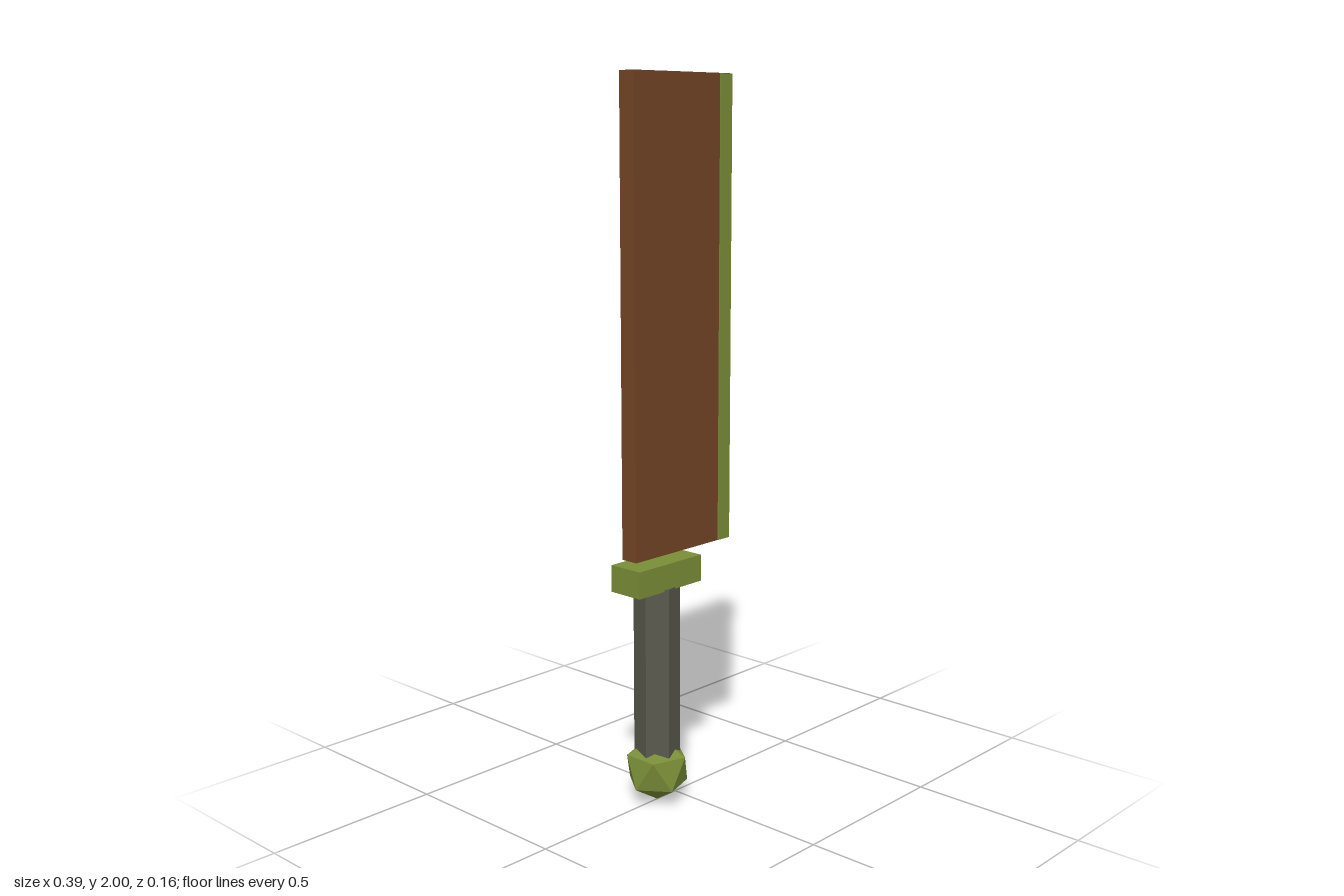
import * as THREE from 'three';
import { ConvexGeometry } from 'three/addons/geometries/ConvexGeometry.js';

const paint = (name, color) => {
  const m = new THREE.MeshStandardMaterial({ color, flatShading: true });
  m.name = name;
  return m;
};

export function createModel() {
  const brown = paint('brown', 0x734425);
  const green = paint('olive green', 0x7a8e38);
  const grey = paint('dark grey', 0x59594d);

  const model = new THREE.Group();
  model.name = 'cleaver';
  const add = (name, geometry, material) => {
    const mesh = new THREE.Mesh(geometry, material);
    mesh.name = name;
    model.add(mesh);
    return mesh;
  };
  // Box given by its lower and upper limits, centred on z = 0
  const slab = (name, x0, x1, y0, y1, depth, material) =>
    add(name, new THREE.BoxGeometry(x1 - x0, y1 - y0, depth), material)
      .position.set((x0 + x1) / 2, (y0 + y1) / 2, 0);

  // Broad blade with a slightly thicker cutting edge
  slab('blade', -0.18, 0.187, 0.717, 2, 0.052, brown);
  slab('cuttingEdge', 0.148, 0.193, 0.718, 1.999, 0.06, green);

  // Guard
  slab('guard', -0.195, 0.048, 0.625, 0.7, 0.106, green);

  // Six-sided grip, turned an eighth of a circle
  const gripX = -0.0735;
  const grip = add('grip', new THREE.CylinderGeometry(0.064, 0.064, 0.53, 6), grey);
  grip.position.set(gripX, 0.365, 0);
  grip.rotation.y = Math.PI / 4;

  // Pommel: icosahedron standing on one corner
  const r = 0.096;
  const points = [new THREE.Vector3(0, r, 0), new THREE.Vector3(0, -r, 0)];
  for (let i = 0; i < 10; i++) {
    const a = (i * Math.PI) / 5;
    const ring = (2 * r) / Math.sqrt(5);
    const y = (i % 2 ? -r : r) / Math.sqrt(5);
    points.push(new THREE.Vector3(ring * Math.cos(a), y, ring * Math.sin(a)));
  }
  add('pommel', new ConvexGeometry(points), green).position.set(gripX, r, 0);

  return model;
}
